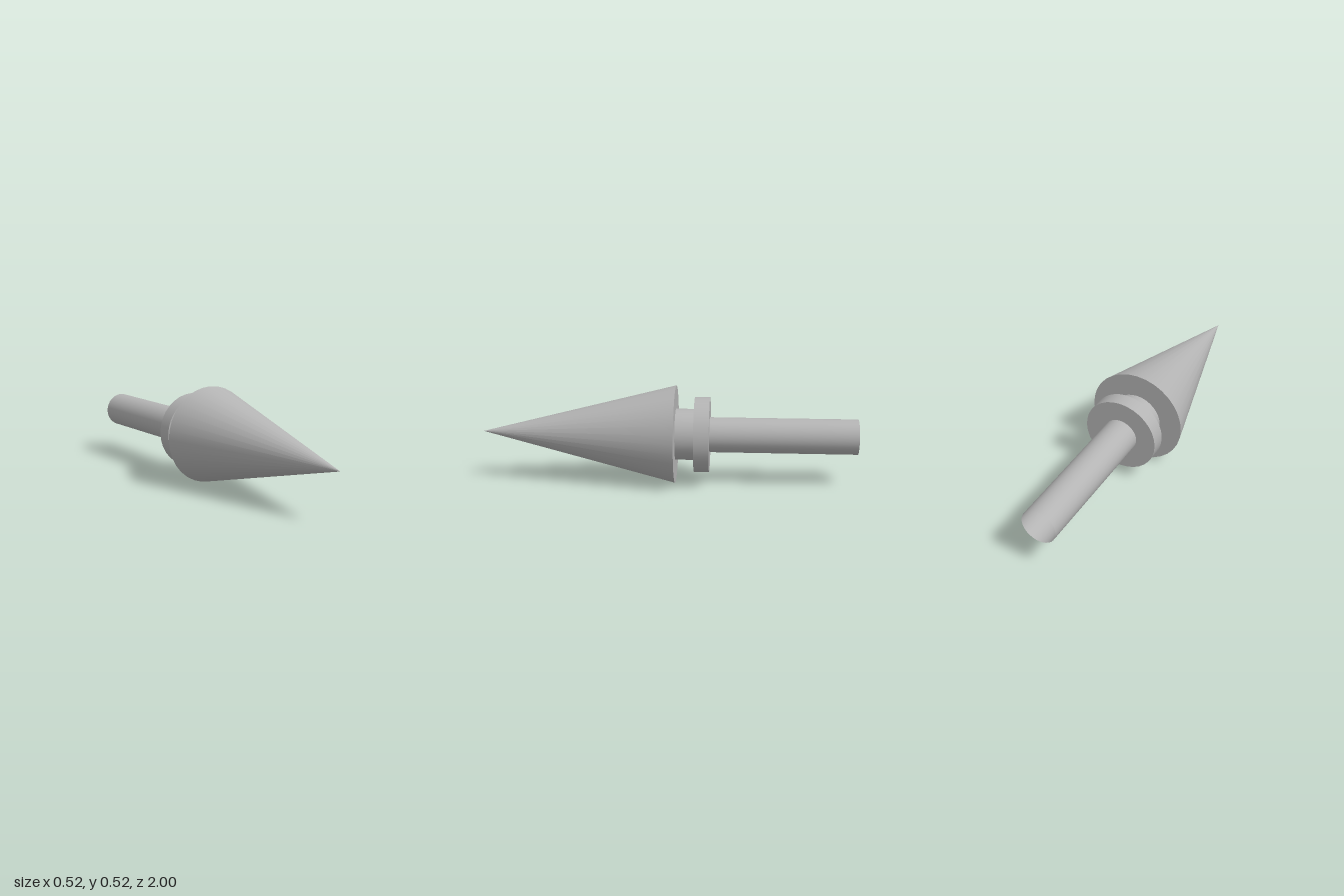
import * as THREE from 'three';

const SIDES = 32;
const AXIS_HEIGHT = 0.26;

export function createModel() {
  const model = new THREE.Group();
  model.name = 'pointedTool';

  const grey = new THREE.MeshStandardMaterial({ color: 0xb4b4b4, side: THREE.DoubleSide });
  grey.name = 'plain grey';

  // Round section lying along z, from its front end to its back end
  function addSection(name, frontRadius, backRadius, frontZ, backZ, open = false) {
    const geometry = new THREE.CylinderGeometry(
      frontRadius, backRadius, frontZ - backZ, SIDES, 1, open);
    geometry.rotateX(Math.PI / 2);
    const mesh = new THREE.Mesh(geometry, grey);
    mesh.name = name;
    mesh.position.set(0, AXIS_HEIGHT, (frontZ + backZ) / 2);
    model.add(mesh);
  }

  addSection('coneTip', 0, 0.26, 1, -0.04);
  addSection('neck', 0.136, 0.136, -0.04, -0.14);
  addSection('collar', 0.2, 0.2, -0.14, -0.22);
  // Hollow shaft, open at the back
  addSection('shaft', 0.093, 0.093, -0.22, -1, true);

  return model;
}
